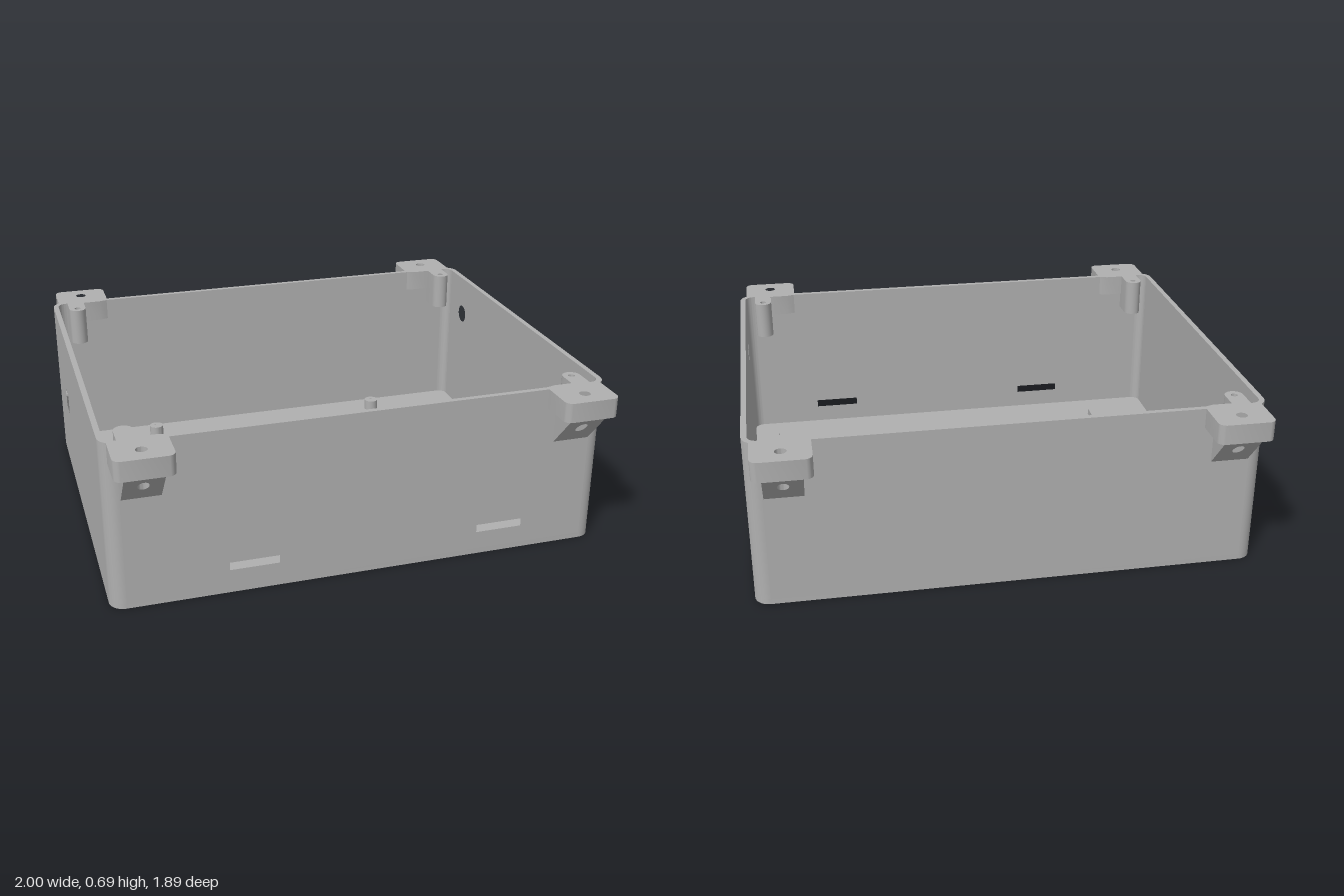
import * as THREE from 'three';
import { toCreasedNormals } from 'three/addons/utils/BufferGeometryUtils.js';

const W = 1, D = 0.79, H = 0.69; // half width, half depth, height
const T = 0.022, R = 0.06;       // wall thickness, corner radius

export function createModel() {
  const group = new THREE.Group();
  const grey = new THREE.MeshStandardMaterial({ color: 0xb0b0b0 });
  grey.name = 'grey plastic';

  const add = (name, geometry) => {
    const mesh = new THREE.Mesh(toCreasedNormals(geometry, 0.6), grey);
    mesh.name = name;
    group.add(mesh);
    return mesh;
  };
  const extrude = (shape, depth) =>
    new THREE.ExtrudeGeometry(shape, { depth, bevelEnabled: false, curveSegments: 16 });
  // Plan outline of [x, z] points raised from y0 to y1
  const plan = (points, y0, y1, holes = []) => {
    const shape = new THREE.Shape(points.map(([x, z]) => new THREE.Vector2(x, -z)));
    for (const [x, z, r] of holes) shape.holes.push(circle(x, -z, r));
    return extrude(shape, y1 - y0).rotateX(-Math.PI / 2).translate(0, y0, 0);
  };
  const circle = (x, y, r) => new THREE.Path().absarc(x, y, r, 0, Math.PI * 2, true);
  const rect = (x0, x1, y0, y1) => new THREE.Path([
    [x0, y0], [x0, y1], [x1, y1], [x1, y0], [x0, y0],
  ].map(([x, y]) => new THREE.Vector2(x, y)));
  const arc = (cx, cz, r, a0, a1, n = 12) => Array.from({ length: n + 1 }, (_, i) => {
    const a = a0 + (a1 - a0) * i / n;
    return [cx + r * Math.cos(a), cz + r * Math.sin(a)];
  });
  const q = Math.PI / 2;

  // Floor with rounded corners
  add('floor', plan([
    ...arc(W - R, D - R, R, 0, q), ...arc(R - W, D - R, R, q, 2 * q),
    ...arc(R - W, R - D, R, 2 * q, 3 * q), ...arc(W - R, R - D, R, 3 * q, 4 * q),
  ], 0, T));

  // Straight wall panels, with their openings
  const panel = (half, holes) => {
    const shape = new THREE.Shape(rect(-half, half, T, H).getPoints());
    shape.holes.push(...holes);
    return extrude(shape, T);
  };
  add('frontWall', panel(W - R, [
    rect(-0.54, -0.343, 0.098, 0.131), rect(0.476, 0.67, 0.098, 0.131),
  ])).position.z = D - T;
  add('backWall', panel(W - R, [])).position.z = -D;
  add('rightSideWall', panel(D - R, [
    circle(-0.525, 0.512, 0.04), circle(0.58, 0.512, 0.04),
  ]).rotateY(q)).position.x = W - T;
  // Connector opening flanked by two screw holes
  add('leftSideWall', panel(D - R, [
    rect(0.335, 0.435, 0.325, 0.405), circle(0.305, 0.365, 0.016), circle(0.465, 0.365, 0.016),
  ]).rotateY(q)).position.x = -W;

  // Everything that repeats at the four corners
  for (const sx of [-1, 1]) for (const sz of [-1, 1]) {
    const m = (points) => points.map(([x, z, ...rest]) => [sx * x, sz * z, ...rest]);

    add('cornerWall', plan(m([
      ...arc(W - R, D - R, R, 0, q), ...arc(W - R, D - R, R - T, q, 0),
    ]), T, H));

    // Lid screw post and the pad joining it to the wall
    add('screwPost', plan(m([
      [0.934, 0.775], ...arc(0.897, 0.687, 0.037, 0, -2 * q), [0.86, 0.775],
    ]), 0.53, H, m([[0.897, 0.687, 0.013]])));
    add('postPad', plan(m([
      [0.752, 0.768], [0.785, 0.758], [0.862, 0.758], [0.862, 0.778], [0.752, 0.778],
    ]), 0.6, H));

    // Mounting ear with rounded outer corners
    const hole = m([[0.86, 0.866, 0.022]]);
    add('mountingEar', plan(m([
      [0.972, 0.772], ...arc(0.942, 0.914, 0.03, 0, q, 8),
      ...arc(0.778, 0.914, 0.03, q, 2 * q, 8), [0.748, 0.772],
    ]), 0.61, H, hole));

    // Wedge under the ear: a block whose underside is slanted
    const wedge = plan(m([
      [0.935, 0.775], [0.935, 0.924], [0.785, 0.924], [0.785, 0.775],
    ]), 0.45, 0.61, hole);
    const p = wedge.attributes.position;
    for (let i = 0; i < p.count; i++) {
      if (p.getY(i) < 0.5) p.setY(i, 0.61 - (0.924 - Math.abs(p.getZ(i))) * 1.12);
    }
    wedge.computeVertexNormals();
    add('earWedge', wedge);
  }

  // Circuit board standoffs
  for (const x of [-0.568, 0.534]) for (const z of [-0.655, -0.115]) {
    add('standoff', plan(arc(x, z, 0.032, 0, 4 * q, 24).slice(0, -1), T, 0.07, [[x, z, 0.013]]));
  }

  // Locating ribs on the floor: x0, x1, z0, z1
  for (const [x0, x1, z0, z1] of [
    [-0.567, -0.32, -0.022, 0], [0.447, 0.694, -0.022, 0],
    [-0.7, -0.675, 0.11, 0.61], [0.787, 0.812, 0.11, 0.61],
  ]) {
    add('floorRib', plan([[x0, z0], [x1, z0], [x1, z1], [x0, z1]], T, 0.05));
  }
  return group;
}
